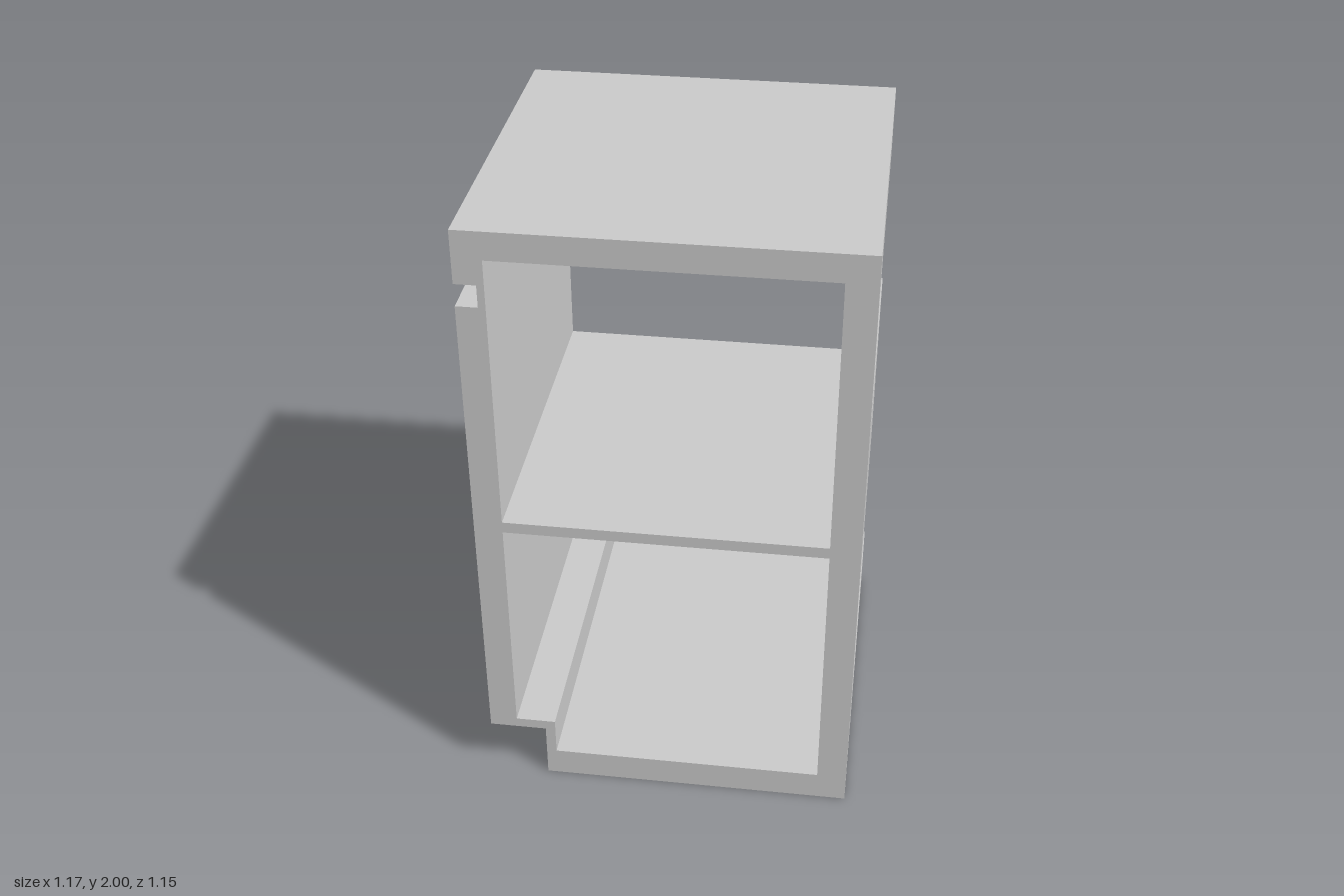
import * as THREE from 'three';

const LEFT = 0.585, RIGHT = -0.585, HALF_DEPTH = 0.575;
const WALL_IN = 0.492; // inner face of the cut-out side wall

function extrude(points, depth) {
  const shape = new THREE.Shape(points.map(([x, y]) => new THREE.Vector2(x, y)));
  return new THREE.ExtrudeGeometry(shape, { depth, bevelEnabled: false });
}

export function createModel() {
  const group = new THREE.Group();
  const material = new THREE.MeshStandardMaterial({ color: 0xcccccc, flatShading: true });
  const add = (name, geometry) => {
    const mesh = new THREE.Mesh(geometry, material);
    mesh.name = name;
    group.add(mesh);
  };

  // Floor, shelf, roof and grooved, stepped wall as one front-to-back profile
  const frame = extrude([
    [-0.402, 0], [WALL_IN, 0], [WALL_IN, 0.095],
    [-0.37, 0.095], [-0.37, 0.223], [-0.497, 0.223], // step inside
    [-0.497, 0.985], [WALL_IN, 0.985], [WALL_IN, 1.022], [-0.497, 1.022], // shelf
    [-0.497, 1.912], [WALL_IN, 1.912], [WALL_IN, 2], [RIGHT, 2],
    [RIGHT, 1.833], [-0.519, 1.833], [-0.519, 1.763], [RIGHT, 1.763], // groove
    [RIGHT, 0.19], [-0.402, 0.19], // step outside
  ], 2 * HALF_DEPTH);
  frame.translate(0, 0, -HALF_DEPTH);
  add('frame', frame);

  // Side wall with two openings that run out at the back
  const front = -HALF_DEPTH, back = HALF_DEPTH, cut = -0.4;
  const outline = [[front, 0], [back, 0]];
  for (const [low, high] of [[0.233, 0.694], [1.313, 1.775]]) {
    outline.push([back, low], [cut, low], [cut, high], [back, high]);
  }
  outline.push([back, 2], [front, 2]);
  const wall = extrude(outline, LEFT - WALL_IN);
  wall.rotateY(Math.PI / 2);
  wall.translate(WALL_IN, 0, 0);
  add('cutOutWall', wall);

  return group;
}
